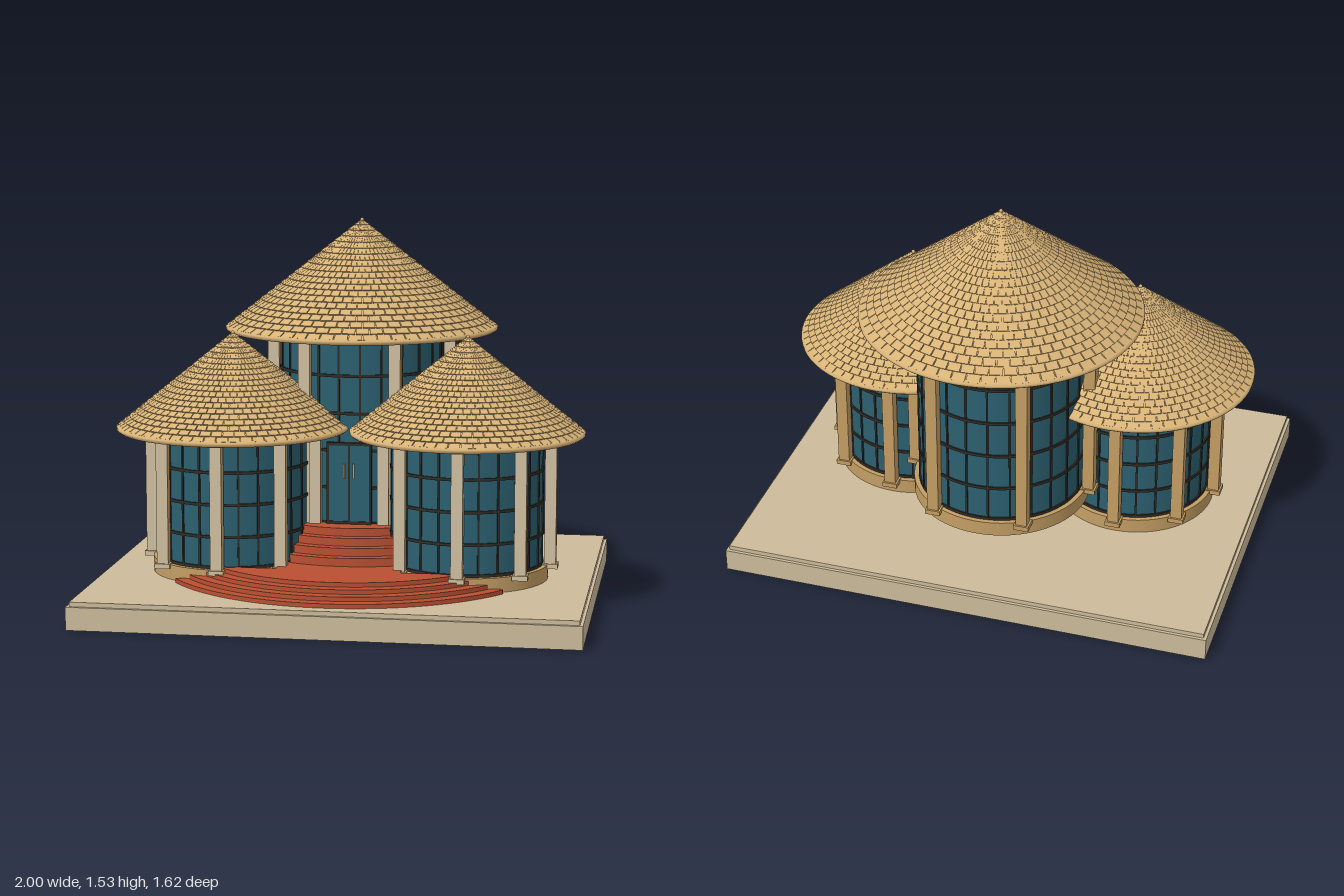
import * as THREE from 'three';
import { mergeGeometries } from 'three/addons/utils/BufferGeometryUtils.js';

const mat = (name, color, extra = {}) => {
  const m = new THREE.MeshStandardMaterial({ color, ...extra });
  m.name = name;
  return m;
};

export function createModel() {
  const stone = mat('stone', 0xcdbc9a);
  const cream = mat('cream', 0xd3c2a2);
  const tan = mat('tan', 0xc49e64);
  const tile = mat('roofTile', 0xd8b377, { side: THREE.DoubleSide });
  const glass = mat('glass', 0x2c6070);
  const frame = mat('frame', 0x302b25);
  const red = mat('redStep', 0xb95032);

  const model = new THREE.Group();
  model.name = 'pavilion';

  const add = (parent, name, geo, material, x = 0, y = 0, z = 0) => {
    const mesh = new THREE.Mesh(geo, material);
    mesh.name = name;
    mesh.position.set(x, y, z);
    parent.add(mesh);
    return mesh;
  };
  const box = (w, h, d) => new THREE.BoxGeometry(w, h, d);

  // Staggered rings of tapered tiles laid on a cone
  function tileGeometry(R, H, courses, count) {
    const tiles = [];
    const len = Math.hypot(R, H), ny = R / len, nr = H / len;
    for (let i = 0; i < courses; i++) {
      for (let j = 0; j < count; j++) {
        const g = box(1, 1, 1).toNonIndexed();
        const p = g.attributes.position;
        for (let k = 0; k < p.count; k++) {
          const t = Math.min((i + (p.getY(k) < 0 ? 0 : 1.1)) / courses, 0.995);
          const a = (j + (i % 2) * 0.5 + p.getX(k) * 0.92) * Math.PI * 2 / count;
          const lift = p.getZ(k) < 0 ? -0.002 : (p.getY(k) < 0 ? 0.009 : 0.003) * (1 - 0.5 * t);
          const r = Math.max(R * (1 - t) + nr * lift, 0.0005);
          p.setXYZ(k, r * Math.sin(a), H * t + ny * lift, r * Math.cos(a));
        }
        g.computeVertexNormals();
        tiles.push(g);
      }
    }
    return mergeGeometries(tiles);
  }

  function roof(parent, R, y, H) {
    const g = new THREE.Group();
    g.name = 'roof';
    g.position.y = y;
    parent.add(g);
    const inner = R - 0.012, h = H - 0.02;
    add(g, 'roofCone', new THREE.ConeGeometry(inner, h, 64, 1, true), tile, 0, 0.015 + h / 2, 0);
    add(g, 'roofTiles', tileGeometry(inner, h, 20, 60), tile, 0, 0.015, 0);
    add(g, 'roofFinial', new THREE.SphereGeometry(0.008, 10, 8), tile, 0, H - 0.005, 0);
    // Rounded eave ring
    const rim = [[R - 0.03, 0.012], [R - 0.025, 0], [R - 0.008, 0], [R, 0.007], [R, 0.016], [R - 0.008, 0.023], [R - 0.03, 0.023]];
    add(g, 'eaveRing', new THREE.LatheGeometry(rim.map(p => new THREE.Vector2(...p)), 72), tile);
  }

  // Round glazed building with columns around it
  function rotunda(name, o) {
    const g = new THREE.Group();
    g.name = name;
    g.position.set(o.x, 0, o.z);
    model.add(g);
    const h = o.top - o.floor, mid = o.floor + h / 2;
    add(g, 'footing', new THREE.CylinderGeometry(o.r + 0.025, o.r + 0.025, o.floor - o.bottom, 64), tan,
      0, (o.floor + o.bottom) / 2, 0);
    add(g, 'glassWall', new THREE.CylinderGeometry(o.r, o.r, h, 64), glass, 0, mid, 0);

    // Glazing bars
    for (let i = 0; i <= o.rows; i++) {
      const y = THREE.MathUtils.clamp(o.floor + h * i / o.rows, o.floor + 0.006, o.top - 0.006);
      add(g, 'glazingRing', new THREE.CylinderGeometry(o.r + 0.006, o.r + 0.006, 0.012, 64), frame, 0, y, 0);
    }
    for (let i = 0; i < 24; i++) {
      const a = (i + (o.shift || 0)) * Math.PI / 12;
      const bar = add(g, 'glazingBar', box(0.008, h, 0.01), frame, o.r * Math.sin(a), mid, o.r * Math.cos(a));
      bar.rotation.y = a;
    }

    // Square columns with foot and cap; the front faces are paler
    const faces = [tan, tan, tan, tan, cream, tan];
    const cr = o.r + 0.035;
    for (let i = 0; i < o.columns; i++) {
      const a = i * Math.PI * 2 / o.columns;
      const x = cr * Math.cos(a), z = cr * Math.sin(a);
      add(g, 'column', box(0.047, h, 0.047), faces, x, mid, z);
      add(g, 'columnFoot', box(0.062, 0.02, 0.062), faces, x, o.floor - 0.005, z);
      add(g, 'columnCap', box(0.062, 0.018, 0.062), faces, x, o.top - 0.009, z);
    }
    roof(g, o.roofR, o.top, o.roofH);
    return g;
  }

  // Plinth with a small inset lip
  add(model, 'plinth', box(2, 0.092, 1.62), stone, 0, 0.046, 0);
  add(model, 'plinthTop', box(1.975, 0.018, 1.595), stone, 0, 0.101, 0);

  rotunda('mainHall', {
    x: 0, z: -0.24, r: 0.335, bottom: 0.245, floor: 0.305, top: 1.07,
    rows: 5, columns: 6, roofR: 0.565, roofH: 0.46, shift: 0.5
  });
  for (const s of [1, -1]) {
    rotunda(s > 0 ? 'leftWing' : 'rightWing', {
      x: s * 0.48, z: 0.09, r: 0.305, bottom: 0.11, floor: 0.17, top: 0.69,
      rows: 4, columns: 8, roofR: 0.475, roofH: 0.4
    });
  }

  // Step with a bowed front edge and a straight back
  function bowedStep(name, centreZ, R, half, backZ, y0, y1) {
    const a = Math.asin(half / R);
    const s = new THREE.Shape();
    s.moveTo(half, -backZ);
    for (let i = 0; i <= 40; i++) {
      const t = a - 2 * a * i / 40;
      s.lineTo(R * Math.sin(t), -(centreZ + R * Math.cos(t)));
    }
    s.lineTo(-half, -backZ);
    s.closePath();
    const geo = new THREE.ExtrudeGeometry(s, { depth: y1 - y0, bevelEnabled: false });
    geo.rotateX(-Math.PI / 2);
    add(model, name, geo, red, 0, y0, 0);
  }

  // Broad terrace steps, then the flight up to the door
  for (let i = 0; i < 4; i++) {
    const R = 0.8 - i * 0.047;
    const half = Math.sqrt(R * R - 0.455 * 0.455);
    bowedStep('terraceStep', -0.055, R, half, 0.39, 0.11, 0.127 + i * 0.0175);
  }
  add(model, 'terrace', box(0.5, 0.069, 0.32), red, 0, 0.145, 0.25);
  for (let i = 0; i < 4; i++) {
    bowedStep('doorStep', -0.24, 0.555 - i * 0.04, 0.215 - i * 0.01, 0.06, 0.17, 0.213 + i * 0.0325);
  }

  // Double door
  const door = new THREE.Group();
  door.name = 'door';
  door.position.set(0, 0.31, 0.098);
  model.add(door);
  add(door, 'doorGlass', box(0.18, 0.33, 0.012), glass, 0, 0.165, 0);
  for (const x of [-0.087, 0, 0.087]) add(door, 'doorStile', box(0.009, 0.33, 0.02), frame, x, 0.165, 0);
  for (const y of [0.006, 0.33]) add(door, 'doorRail', box(0.183, 0.012, 0.02), frame, 0, y, 0);
  for (const s of [1, -1]) add(door, 'doorHandle', box(0.007, 0.06, 0.012), tan, s * 0.02, 0.22, 0.012);

  return model;
}
